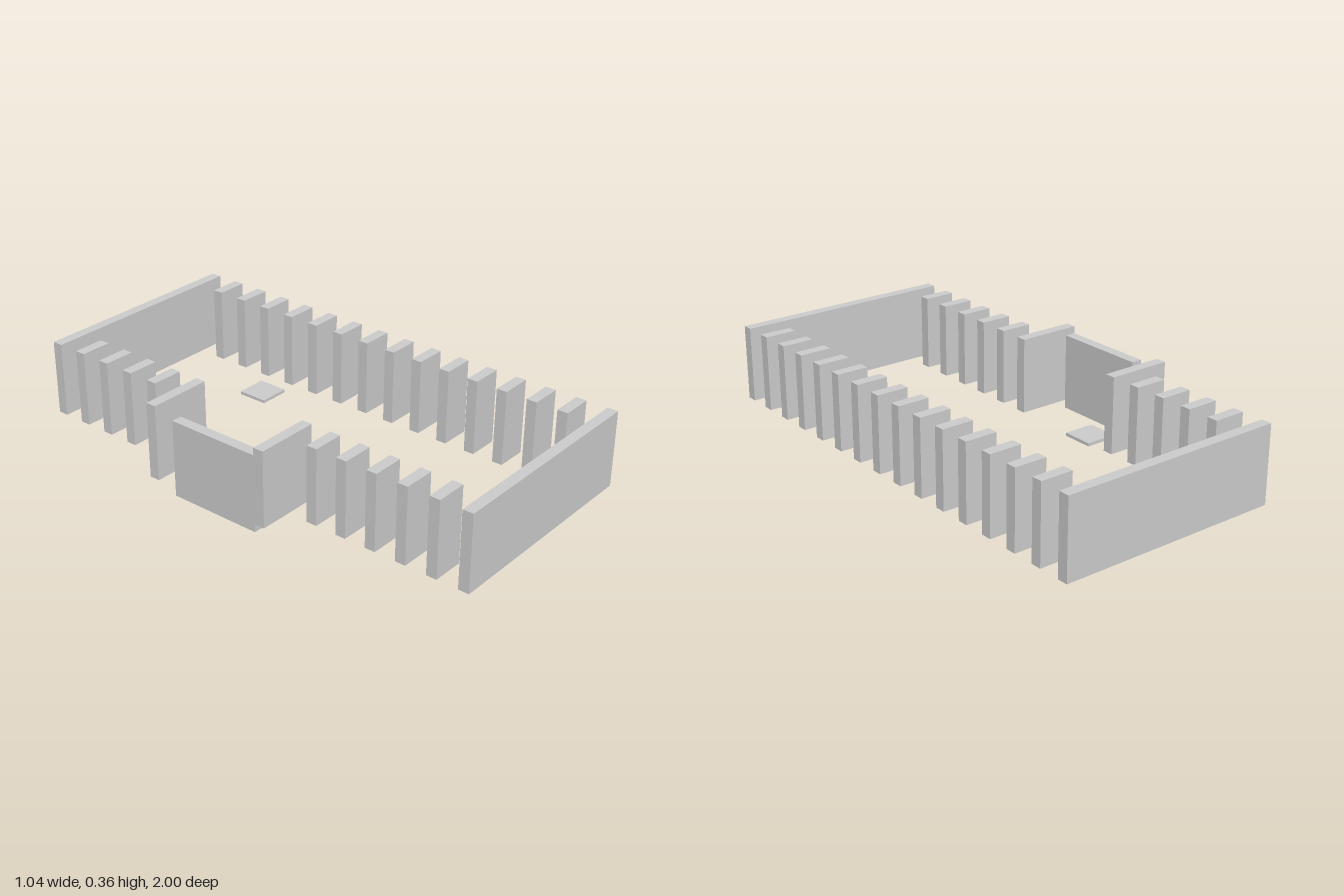
import * as THREE from 'three';

const material = new THREE.MeshStandardMaterial({ color: 0xcccccc, flatShading: true });
const STEP = 3 / 23;      // spacing of the fins, also their length
const THICK = STEP / 3;   // wall and fin thickness
const HEIGHT = 0.31;
const BASE = 0.048;       // underside of the fins

export function createModel() {
  const model = new THREE.Group();

  // Box given by its lower and upper corners
  const block = (name, x0, x1, y0, y1, z0, z1) => {
    const mesh = new THREE.Mesh(new THREE.BoxGeometry(x1 - x0, y1 - y0, z1 - z0), material);
    mesh.name = name;
    mesh.position.set((x0 + x1) / 2, (y0 + y1) / 2, (z0 + z1) / 2);
    model.add(mesh);
  };
  // Upright slab across x, standing in row i
  const slab = (name, i, x0, x1) => {
    const z = -1 + i * STEP;
    block(name, x0, x1, BASE, BASE + HEIGHT, z, z + THICK);
  };

  // End walls
  slab('backWall', 0, -3 * STEP, 4 * STEP);
  slab('frontWall', 15, -3 * STEP, 4 * STEP);

  // Rows of fins; the right row opens into an alcove between two longer fins
  for (let i = 1; i <= 14; i++) {
    slab('leftFin', i, 3 * STEP, 4 * STEP);
    if (i === 5 || i === 9) slab('alcoveSideWall', i, -4 * STEP, -2 * STEP);
    else if (i < 5 || i > 9) slab('rightFin', i, -3 * STEP, -2 * STEP);
  }

  // Lower wall closing the alcove
  block('alcoveOuterWall', -4 * STEP, -4 * STEP + THICK, 0.015, 0.328, -1 + 6 * STEP, -1 + 9 * STEP);

  // Thin floor plates
  block('alcovePlate', -3 * STEP, -2 * STEP, 0.035, BASE, -1 + 6 * STEP, -1 + 7 * STEP);
  block('floorPlate', 2 * STEP, 3 * STEP, 0, 0.013, -1 + 3 * STEP, -1 + 4 * STEP);

  return model;
}
